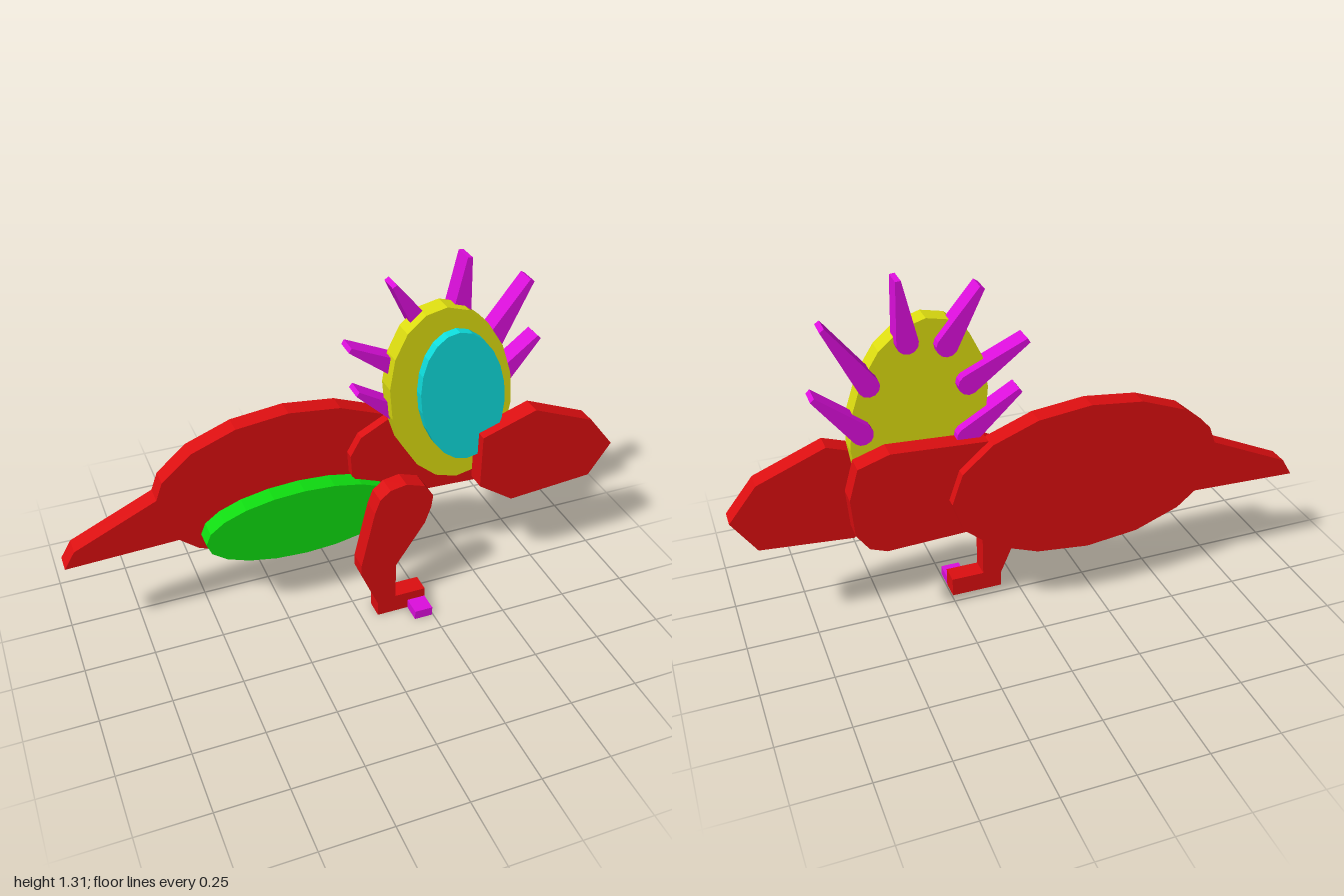
import * as THREE from 'three';

const paint = (name, color) => new THREE.MeshStandardMaterial({ name, color });

// Points around a tilted ellipse, from step `from` to step `to` of n
function ellipse(cx, cy, a, b, tilt, n, from = 0, to = n - 1) {
  const pts = [];
  for (let i = from; i <= to; i++) {
    const t = (i / n) * Math.PI * 2;
    const u = a * Math.cos(t), v = b * Math.sin(t);
    pts.push([cx + u * Math.cos(tilt) - v * Math.sin(tilt), cy + u * Math.sin(tilt) + v * Math.cos(tilt)]);
  }
  return pts;
}

// Tapered spike outline: blunt tip, rounded root
function spikeOutline([tx, ty], [bx, by]) {
  const len = Math.hypot(tx - bx, ty - by);
  const dx = (tx - bx) / len, dy = (ty - by) / len;
  const r = 0.036, tip = 0.009;
  const pts = [[tx + dy * tip, ty - dx * tip], [tx - dy * tip, ty + dx * tip]];
  for (let i = 0; i <= 6; i++) {
    const t = (i / 6) * Math.PI;
    const side = Math.cos(t) * r, back = Math.sin(t) * r;
    pts.push([bx - dy * side - dx * back, by + dx * side - dy * back]);
  }
  return pts;
}

export function createModel() {
  const model = new THREE.Group();
  model.name = 'spikyCreature';

  const red = paint('red', 0xdc0e10);
  const green = paint('green', 0x0edc10);
  const yellow = paint('yellow', 0xdcdc10);
  const cyan = paint('cyan', 0x0edcdc);
  const magenta = paint('magenta', 0xdc0edc);

  // Flat slab cut from an outline between two depths
  function slab(name, pts, z0, z1, material) {
    const shape = new THREE.Shape(pts.map(([x, y]) => new THREE.Vector2(x, y)));
    const geo = new THREE.ExtrudeGeometry(shape, { depth: z1 - z0, bevelEnabled: false });
    geo.translate(0, 0, z0);
    const mesh = new THREE.Mesh(geo, material);
    mesh.name = name;
    model.add(mesh);
  }

  // Body with pointed tail
  slab('bodyAndTail', [
    ...ellipse(-0.19, 0.531, 0.49, 0.28, 0, 16, -6, 7),
    [-0.667, 0.573], [-0.961, 0.438], [-1, 0.374], [-0.603, 0.388],
  ], -0.175, -0.105, red);

  // Belly patch
  slab('belly', ellipse(-0.163, 0.391, 0.362, 0.136, 0, 20), -0.105, -0.035, green);

  // Neck
  slab('neck', [
    [0.027, 0.518], [0.021, 0.603], [0.06, 0.673], [0.16, 0.726], [0.49, 0.745], [0.598, 0.71],
    [0.63, 0.6], [0.62, 0.465], [0.577, 0.403], [0.518, 0.38], [0.197, 0.393], [0.09, 0.443],
  ], -0.14, -0.07, red);

  // Frill and its raised centre
  slab('frill', ellipse(0.368, 0.816, 0.226, 0.35, 0.21, 18), -0.07, 0, yellow);
  slab('frillCentre', ellipse(0.395, 0.822, 0.156, 0.26, 0.19, 22), 0, 0.035, cyan);

  // Spikes around the frill: tip, root
  [
    [[0.006, 1.047], [0.21, 0.925]],
    [[0.034, 0.874], [0.22, 0.735]],
    [[0.16, 1.25], [0.278, 1.07]],
    [[0.425, 1.308], [0.405, 1.1]],
    [[0.665, 1.185], [0.535, 0.975]],
    [[0.713, 0.96], [0.565, 0.81]],
  ].forEach(([tip, root], i) => slab(`spike${i + 1}`, spikeOutline(tip, root), -0.105, -0.035, magenta));

  // Head
  slab('head', [
    [0.465, 0.66], [0.667, 0.73], [0.902, 0.635], [1, 0.512], [0.918, 0.39], [0.598, 0.363], [0.465, 0.454],
  ], 0, 0.07, red);

  // Leg with foot
  slab('leg', [
    [0.06, 0], [0.246, 0], [0.246, 0.07], [0.128, 0.07], [0.128, 0.217], [0.235, 0.379], [0.257, 0.443],
    [0.263, 0.491], [0.23, 0.54], [0.16, 0.564], [0.1, 0.553], [0.062, 0.522], [0.043, 0.47],
    [-0.006, 0.25], [-0.006, 0.21], [0.06, 0.055],
  ], 0.035, 0.105, red);

  // Claw
  slab('claw', [[0.178, 0], [0.246, 0], [0.246, 0.035], [0.178, 0.035]], 0.105, 0.176, magenta);

  return model;
}
